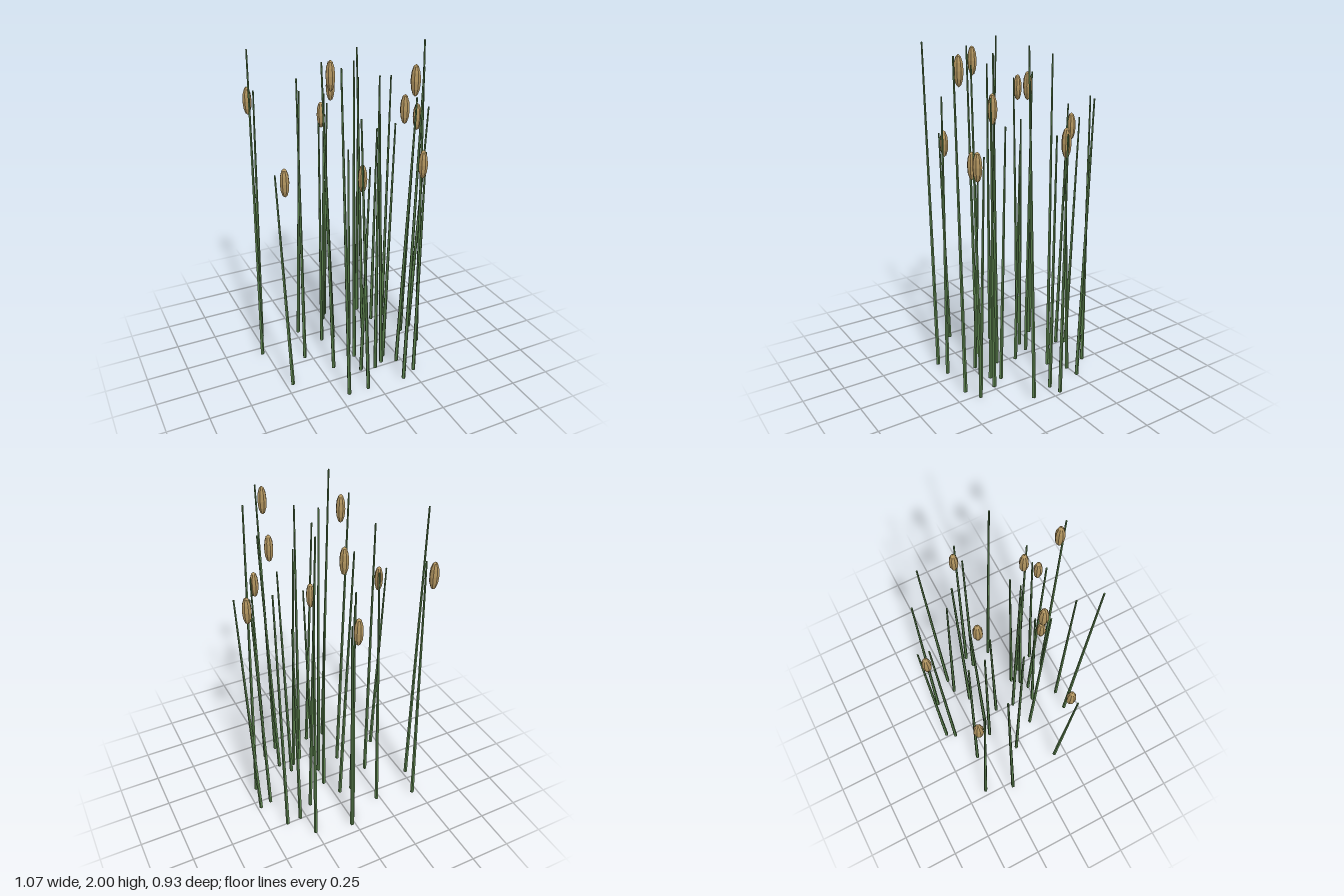
import * as THREE from 'three';

// Each reed: base x, base z, tip x, tip z, height
const HEADED = [
  [0.02, -0.436, 0.07, -0.457, 1.52],
  [-0.465, -0.372, -0.442, -0.325, 1.70],
  [-0.04, -0.157, -0.07, -0.208, 1.79],
  [0.476, -0.05, 0.532, -0.016, 1.56],
  [-0.46, 0.175, -0.515, 0.18, 1.39],
  [-0.17, 0.135, -0.223, 0.141, 1.945],
  [-0.027, 0.232, 0.025, 0.22, 1.355],
  [0.218, 0.243, 0.267, 0.284, 1.735],
  [0.27, 0.37, 0.30, 0.348, 1.44],
  [0.174, 0.416, 0.196, 0.458, 1.95],
];
const BARE = [
  [-0.015, -0.383, 0.028, -0.403, 1.60],
  [0.252, -0.391, 0.25, -0.386, 1.68],
  [-0.227, -0.315, -0.182, -0.281, 1.675],
  [-0.526, -0.19, -0.497, -0.23, 1.96],
  [-0.12, -0.163, -0.115, -0.161, 1.51],
  [-0.293, -0.039, -0.293, -0.037, 1.825],
  [0.02, -0.038, 0.027, -0.06, 1.36],
  [0.183, -0.17, 0.145, -0.195, 1.915],
  [0.288, -0.243, 0.284, -0.193, 1.41],
  [0.378, -0.25, 0.418, -0.276, 1.70],
  [0.402, -0.03, 0.443, -0.012, 1.535],
  [0.443, 0.113, 0.392, 0.134, 2.0],
  [0.164, 0.163, 0.211, 0.158, 1.56],
  [0.125, 0.214, 0.107, 0.165, 1.67],
  [0.065, 0.248, 0.047, 0.27, 1.875],
  [-0.19, 0.404, -0.238, 0.412, 1.98],
  [-0.064, 0.406, -0.107, 0.37, 1.695],
  [-0.003, 0.087, -0.015, 0.093, 1.92],
];

const UP = new THREE.Vector3(0, 1, 0);

export function createModel() {
  const model = new THREE.Group();
  const green = new THREE.MeshStandardMaterial({ color: 0x5a7f4c, flatShading: true });
  const tan = new THREE.MeshStandardMaterial({ color: 0xb1945f, flatShading: true });

  // Tapered five-sided stalk, leaning from its foot to its tip
  const stalkGeometry = new THREE.CylinderGeometry(0.005, 0.012, 1, 5);
  stalkGeometry.translate(0, 0.5, 0);
  // Slim faceted seed head
  const headGeometry = new THREE.SphereGeometry(0.027, 8, 6);
  headGeometry.scale(1, 3.1, 1);

  function addReed([x, z, tipX, tipZ, height], hasHead) {
    const reed = new THREE.Group();
    reed.name = hasHead ? 'reedWithSeedHead' : 'bareReed';
    reed.position.set(x, 0, z);

    const lean = new THREE.Vector3(tipX - x, height, tipZ - z);
    const stalk = new THREE.Mesh(stalkGeometry, green);
    stalk.name = 'stalk';
    stalk.scale.y = lean.length();
    stalk.quaternion.setFromUnitVectors(UP, lean.normalize());
    reed.add(stalk);

    // The head stands upright above the foot of the stalk
    if (hasHead) {
      const head = new THREE.Mesh(headGeometry, tan);
      head.name = 'seedHead';
      head.position.y = height * 0.96;
      reed.add(head);
    }
    model.add(reed);
  }

  HEADED.forEach((r) => addReed(r, true));
  BARE.forEach((r) => addReed(r, false));
  model.name = 'reedClump';
  return model;
}
